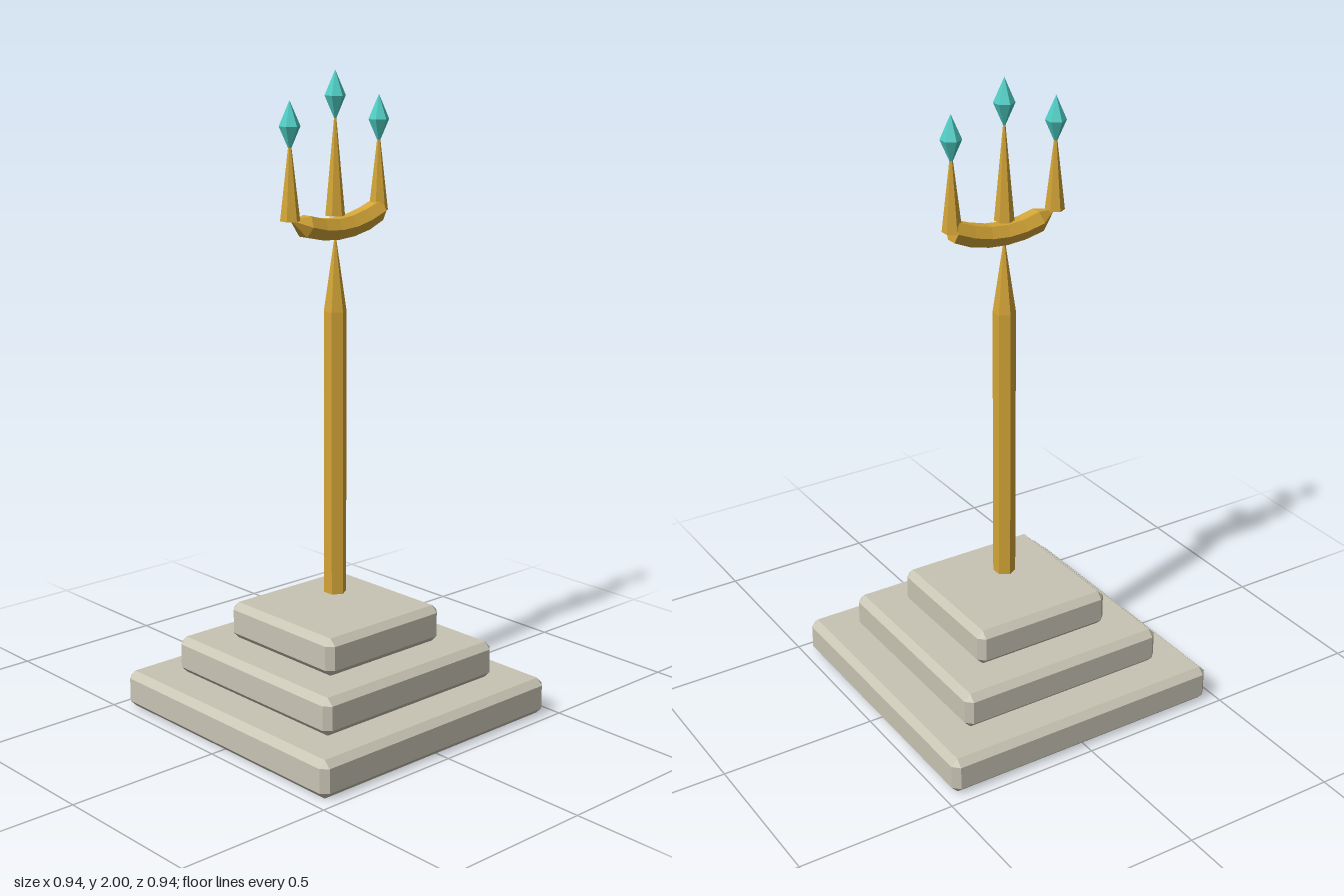
import * as THREE from 'three';
import { ConvexGeometry } from 'three/addons/geometries/ConvexGeometry.js';

const stone = new THREE.MeshStandardMaterial({ color: 0xc8c4b4 });
stone.name = 'stone';
const gold = new THREE.MeshStandardMaterial({ color: 0xd4a537 });
gold.name = 'gold';
const crystal = new THREE.MeshStandardMaterial({ color: 0x4ecdc4 });
crystal.name = 'crystal';

// Faceted copy of a geometry
function faceted(geometry) {
  const g = geometry.index ? geometry.toNonIndexed() : geometry;
  g.computeVertexNormals();
  return g;
}

// Box with every edge chamfered
function chamferedBox(w, h, d, c) {
  const points = [];
  for (const x of [-1, 1]) for (const y of [-1, 1]) for (const z of [-1, 1]) {
    const [X, Y, Z] = [x * w / 2, y * h / 2, z * d / 2];
    points.push(
      new THREE.Vector3(X, Y - y * c, Z - z * c),
      new THREE.Vector3(X - x * c, Y, Z - z * c),
      new THREE.Vector3(X - x * c, Y - y * c, Z));
  }
  return new ConvexGeometry(points);
}

// Hexagonal frustum standing between two heights
function hexagon(rTop, rBottom, y0, y1) {
  const g = new THREE.CylinderGeometry(rTop, rBottom, y1 - y0, 6);
  return faceted(g.translate(0, (y0 + y1) / 2, 0));
}

// Sagging hexagonal crossbar, pointed at -x and cut square at +x
function crossbarGeometry() {
  const half = 0.177, sag = 0.042, low = 1.533;
  const g = new THREE.CylinderGeometry(0.036, 0.036, half * 2, 6, 6);
  g.rotateZ(-Math.PI / 2);
  const p = g.attributes.position;
  for (let i = 0; i < p.count; i++) {
    const x = p.getX(i), t = x / half;
    const size = t < -0.99 ? 0 : 1;
    const y = p.getY(i) * size;
    const lean = t > 0.99 ? 0.1 : 0.4 * t;
    p.setXYZ(i, x - lean * y, low + sag * t * t + y, p.getZ(i) * size);
  }
  return faceted(g);
}

export function createModel() {
  const model = new THREE.Group();
  model.name = 'tridentMonument';
  const add = (name, geometry, material, parent = model) => {
    const mesh = new THREE.Mesh(geometry, material);
    mesh.name = name;
    parent.add(mesh);
    return mesh;
  };

  // Stepped plinth
  const plinth = new THREE.Group();
  plinth.name = 'plinth';
  model.add(plinth);
  const stepHeight = 0.118;
  [0.94, 0.706, 0.47].forEach((width, i) => {
    const step = add('plinthStep' + (i + 1), chamferedBox(width, stepHeight, width, 0.021), stone, plinth);
    step.position.y = stepHeight * (i + 0.5);
  });

  // Shaft and its tapered tip
  add('shaft', hexagon(0.035, 0.035, 0.395, 1.285), gold);
  add('shaftTip', hexagon(0, 0.035, 1.285, 1.525), gold);

  add('crossbar', crossbarGeometry(), gold);

  // Prongs, each topped by a crystal
  for (const [name, x, tip, gemY] of [
    ['left', 0.177, 1.83, 1.847],
    ['middle', 0, 1.9, 1.926],
    ['right', -0.177, 1.83, 1.847],
  ]) {
    const prong = new THREE.Group();
    prong.name = name + 'Prong';
    prong.position.x = x;
    model.add(prong);
    add(name + 'Spike', hexagon(0, 0.03, 1.573, tip), gold, prong);
    add(name + 'CrystalTop', hexagon(0, 0.032, gemY, gemY + 0.074), crystal, prong);
    add(name + 'CrystalBottom', hexagon(0.032, 0, gemY - 0.074, gemY), crystal, prong);
  }
  return model;
}
